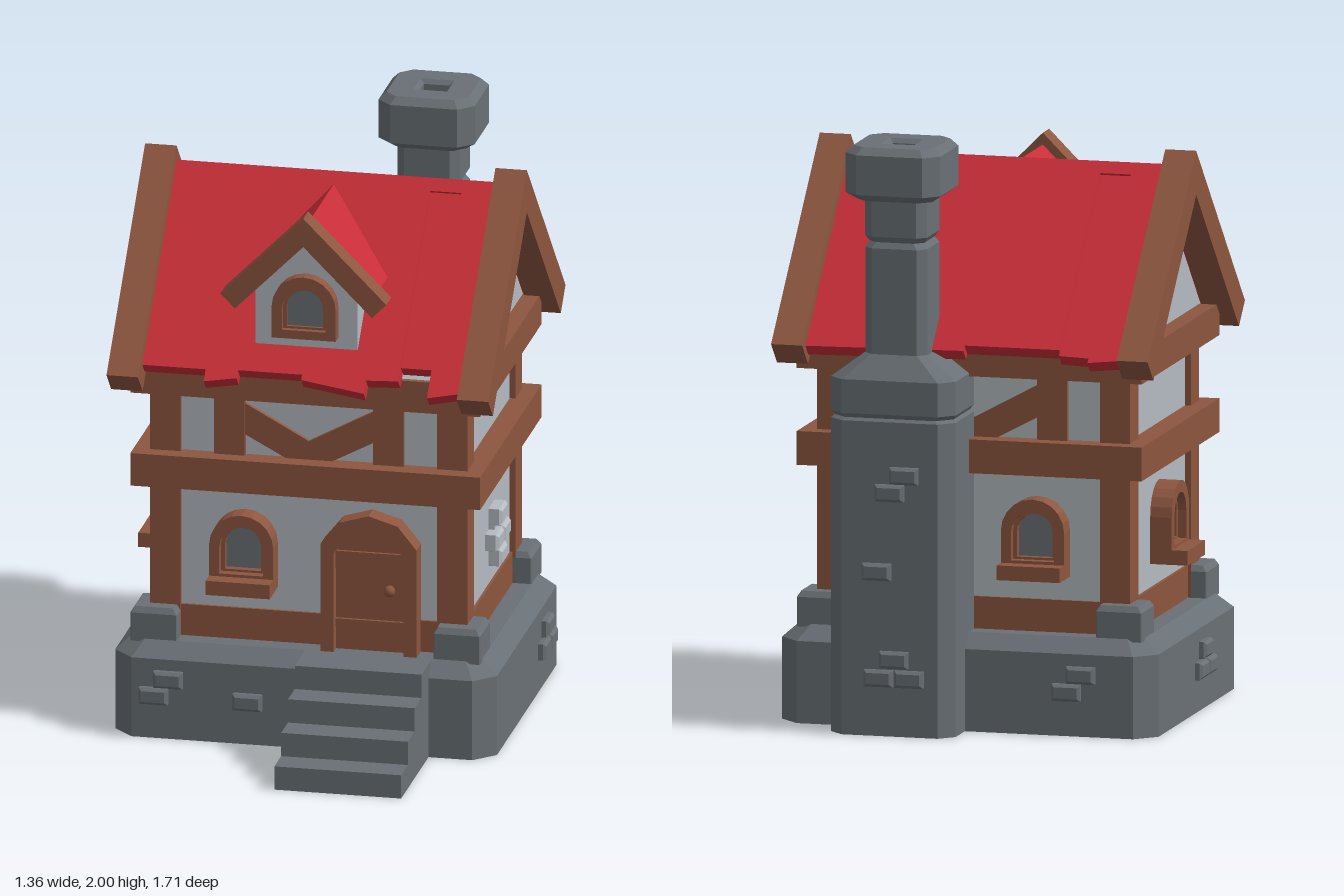
import * as THREE from 'three';

const mat = (name, color) => Object.assign(new THREE.MeshStandardMaterial({ color }), { name });
const stone = mat('stone', 0x697075);
const plaster = mat('plaster', 0xb4bbc1);
const timber = mat('timber', 0x8d563f);
const tile = mat('roofRed', 0xc82e38);
const glass = mat('glass', 0x6b7074);

const BACK_Z = -0.125; // z of the ridge and of the house centre

export function createModel() {
  const root = new THREE.Group();
  root.name = 'cottage';

  const add = (name, geo, m, parent = root, x = 0, y = 0, z = 0) => {
    const mesh = new THREE.Mesh(geo, m);
    mesh.name = name;
    mesh.position.set(x, y, z);
    parent.add(mesh);
    return mesh;
  };
  // box given by its limits
  const block = (name, m, x0, x1, y0, y1, z0, z1, parent = root) =>
    add(name, new THREE.BoxGeometry(x1 - x0, y1 - y0, z1 - z0), m, parent,
      (x0 + x1) / 2, (y0 + y1) / 2, (z0 + z1) / 2);
  const group = (name, x, y, z, ry = 0) => {
    const g = new THREE.Group();
    g.name = name;
    g.position.set(x, y, z);
    g.rotation.y = ry;
    root.add(g);
    return g;
  };
  const poly = pts => new THREE.Shape(pts.map(p => new THREE.Vector2(p[0], p[1])));
  const extrude = (shape, depth, z0 = 0) =>
    new THREE.ExtrudeGeometry(shape, { depth, bevelEnabled: false, curveSegments: 5 }).translate(0, 0, z0);

  // stacked chamfered rectangles: [y, halfX, halfZ, chamfer]
  const loft = sections => {
    const rings = sections.map(([y, a, b, c]) => [
      [a, b - c], [a - c, b], [c - a, b], [-a, b - c],
      [-a, c - b], [c - a, -b], [a - c, -b], [a, c - b],
    ].map(([x, w]) => [x, y, -w]));
    const pos = [];
    const tri = (a, b, c) => pos.push(...a, ...b, ...c);
    for (let s = 0; s < rings.length - 1; s++) {
      for (let i = 0; i < 8; i++) {
        const j = (i + 1) % 8, lo = rings[s], hi = rings[s + 1];
        tri(lo[i], lo[j], hi[j]);
        tri(lo[i], hi[j], hi[i]);
      }
    }
    const first = rings[0], last = rings[rings.length - 1];
    for (let i = 1; i < 7; i++) {
      tri(last[0], last[i], last[i + 1]);
      tri(first[0], first[i + 1], first[i]);
    }
    const geo = new THREE.BufferGeometry();
    geo.setAttribute('position', new THREE.Float32BufferAttribute(pos, 3));
    geo.computeVertexNormals();
    return geo;
  };

  // foundation and steps
  add('foundation', loft([[0, 0.655, 0.545, 0.07], [0.28, 0.655, 0.545, 0.07], [0.33, 0.6, 0.49, 0.05]]),
    stone, root, 0, 0, BACK_Z);
  for (let i = 0; i < 4; i++) {
    block('step', stone, 0, 0.435, 0, 0.0825 * (i + 1), 0.3, 0.855 - 0.108 * i);
  }

  // walls, beams and corner posts
  block('walls', plaster, -0.525, 0.525, 0.33, 1.25, -0.54, 0.29);
  block('sillBeam', timber, -0.535, 0.535, 0.33, 0.44, -0.55, 0.3);
  block('middleBeam', timber, -0.6, 0.6, 0.87, 0.985, -0.615, 0.365);
  block('topBeam', timber, -0.6, 0.6, 1.2, 1.31, -0.615, 0.365);
  for (const sx of [-1, 1]) {
    for (const sz of [-1, 1]) {
      add('cornerPost', new THREE.BoxGeometry(0.105, 0.87, 0.105), timber, root,
        sx * 0.4925, 0.765, BACK_Z + sz * 0.3825);
      add('cornerStone', loft([[0.32, 0.08, 0.08, 0.004], [0.42, 0.08, 0.08, 0.004], [0.44, 0.068, 0.068, 0.004]]),
        stone, root, sx * 0.52, 0, BACK_Z + sz * 0.41);
    }
  }

  // upper framing on the front and the back
  for (const ry of [0, Math.PI]) {
    const g = group('upperFraming', 0, 0, BACK_Z, ry);
    for (const sx of [-1, 1]) {
      add('stud', new THREE.BoxGeometry(0.105, 0.24, 0.06), timber, g, sx * 0.2725, 1.09, 0.405);
    }
    add('brace', extrude(poly([[-0.22, 1.17], [-0.22, 1.06], [-0.08, 0.985], [0.08, 0.985],
      [0.22, 1.06], [0.22, 1.17], [0, 1.05]]), 0.04, 0.39), timber, g);
  }

  // gable prism and barge boards
  const gable = extrude(poly([[-0.47, 1.31], [0.47, 1.31], [0, 1.78]]), 1.08, -0.54).rotateY(Math.PI / 2);
  add('gable', gable, plaster, root, 0, 0, BACK_Z);
  const chevron = (h, v, depth) => extrude(poly([[0, 0], [-h, -h], [-h + v / 2, -h - v / 2],
    [0, -v], [h - v / 2, -h - v / 2], [h, -h]]), depth, -depth / 2);
  for (const sx of [-1, 1]) {
    add('bargeBoard', chevron(0.615, 0.15, 0.108).rotateY(Math.PI / 2), timber, root, sx * 0.601, 1.915, BACK_Z);
  }

  // roof strips: [x0, x1, length at x0, length at x1, sink]
  const frontStrips = [[-0.55, -0.33, 0.77, 0.77, 0], [-0.33, -0.22, 0.815, 0.795, 0],
    [-0.22, 0, 0.765, 0.765, 0], [0, 0.22, 0.785, 0.82, 0], [0.22, 0.33, 0.77, 0.765, 0],
    [0.33, 0.437, 0.71, 0.71, 0.01], [0.437, 0.55, 0.82, 0.795, 0]];
  const backStrips = [[-0.55, 0, 0.81, 0.8, 0], [0, 0.33, 0.778, 0.778, 0],
    [0.33, 0.437, 0.795, 0.8, 0.01], [0.437, 0.55, 0.825, 0.81, 0]];
  [[frontStrips, 0], [backStrips, Math.PI]].forEach(([strips, ry]) => {
    const g = group('roofSide', 0, 1.865, BACK_Z, ry);
    for (const [x0, x1, l0, l1, sink] of strips) {
      const geo = extrude(poly([[x0, -l0], [x1, -l1], [x1, 0], [x0, 0]]), 0.05, -0.05 - sink);
      add('roofStrip', geo.rotateX(-Math.PI / 4), tile, g);
    }
  });

  // dormer
  add('dormerWall', extrude(poly([[-0.175, 1.4], [0.175, 1.4], [0.175, 1.59], [0, 1.765], [-0.175, 1.59]]),
    0.345), plaster);
  add('dormerRoof', chevron(0.235, 0.07, 0.41), tile, root, 0, 1.83, 0.115);
  add('dormerBargeBoard', chevron(0.285, 0.1, 0.08), timber, root, 0, 1.87, 0.355);

  // arched windows; local origin at the bottom of the frame on the wall face
  const arch = (Type, w, y0, spring) => {
    const s = new Type();
    s.moveTo(-w, y0);
    s.lineTo(w, y0);
    s.lineTo(w, spring);
    s.absarc(0, spring, w, 0, Math.PI, false);
    s.lineTo(-w, y0);
    return s;
  };
  const archWindow = (x, y, z, ry, depth, sill, h) => {
    const g = group('window', x, y, z, ry);
    const frame = arch(THREE.Shape, 0.11, 0, h - 0.11);
    frame.holes.push(arch(THREE.Path, 0.075, 0.03, h - 0.115));
    add('windowFrame', extrude(frame, depth), timber, g);
    const inner = arch(THREE.Shape, 0.077, 0.028, h - 0.115);
    inner.holes.push(arch(THREE.Path, 0.062, 0.038, h - 0.115));
    add('innerFrame', extrude(inner, depth * 0.6), timber, g);
    add('windowPane', extrude(arch(THREE.Shape, 0.07, 0.03, h - 0.115), 0.008, 0.012), glass, g);
    if (sill) block('windowSill', timber, -0.11, 0.11, -0.03, 0.02, 0, 0.13, g);
  };
  archWindow(-0.22, 0.55, 0.29, 0, 0.075, true, 0.24);
  archWindow(-0.22, 0.55, -0.54, Math.PI, 0.075, true, 0.24);
  archWindow(-0.525, 0.55, BACK_Z, -Math.PI / 2, 0.075, true, 0.24);
  archWindow(0, 1.44, 0.34, 0, 0.05, false, 0.22);

  // door
  const door = group('door', 0.217, 0.33, 0.29);
  const frame = poly([[-0.165, 0], [-0.12, 0], [-0.12, 0.35], [-0.07, 0.415], [0, 0.44], [0.07, 0.415],
    [0.12, 0.35], [0.12, 0], [0.165, 0], [0.165, 0.38], [0.1, 0.46], [0, 0.49], [-0.1, 0.46], [-0.165, 0.38]]);
  add('doorFrame', extrude(frame, 0.075), timber, door);
  add('doorPanel', extrude(poly([[-0.12, 0], [0.12, 0], [0.12, 0.35], [0.07, 0.415], [0, 0.44],
    [-0.07, 0.415], [-0.12, 0.35]]), 0.035), timber, door);
  block('doorBar', timber, -0.12, 0.12, 0.08, 0.11, 0, 0.046, door);
  block('doorBar', timber, -0.12, 0.12, 0.29, 0.35, 0, 0.046, door);
  add('doorKnob', new THREE.SphereGeometry(0.02, 8, 6), timber, door, 0.067, 0.22, 0.05);

  // chimney
  add('chimneyBase', loft([[0, 0.217, 0.165, 0.05], [1.07, 0.217, 0.165, 0.05], [1.08, 0.207, 0.155, 0.05],
    [1.095, 0.217, 0.165, 0.05], [1.21, 0.217, 0.165, 0.05], [1.29, 0.11, 0.108, 0.03]]),
    stone, root, 0.217, 0, -0.67);
  add('chimneyShaft', loft([[1.28, 0.108, 0.106, 0.03], [1.65, 0.108, 0.106, 0.03], [1.67, 0.095, 0.095, 0.03],
    [1.69, 0.108, 0.108, 0.03], [1.83, 0.108, 0.108, 0.03]]), stone, root, 0.217, 0, -0.672);
  add('chimneyCap', loft([[1.815, 0.13, 0.13, 0.04], [1.84, 0.165, 0.163, 0.05], [1.975, 0.165, 0.163, 0.05],
    [2, 0.14, 0.14, 0.04], [2, 0.058, 0.058, 0.001], [1.985, 0.045, 0.045, 0.001], [1.9, 0.045, 0.045, 0.001]]),
    stone, root, 0.217, 0, -0.675);

  // raised bricks, given as [u, v] offsets on a wall
  const brickGeo = loft([[-0.02, 0.05, 0.029, 0.001], [0.016, 0.05, 0.029, 0.001],
    [0.026, 0.04, 0.019, 0.001]]).rotateX(Math.PI / 2);
  const bricks = (m, x, y, z, ry, list) => {
    const g = group('bricks', x, y, z, ry);
    for (const [u, v] of list) add('brick', brickGeo, m, g, u, v, 0);
  };
  const one = [[0, 0]];
  const two = [[0.025, 0.03], [-0.025, -0.03]];
  const three = [[0, 0.032], [-0.053, -0.032], [0.053, -0.032]];
  const four = [[0, 0.075], [-0.052, 0], [0.052, 0], [0, -0.07]];
  const q = Math.PI / 2;
  bricks(stone, -0.482, 0.182, 0.42, 0, two);
  bricks(stone, -0.185, 0.152, 0.42, 0, one);
  bricks(stone, 0.655, 0.175, -0.408, q, three);
  bricks(stone, -0.655, 0.175, -0.04, -q, three);
  bricks(stone, -0.38, 0.18, -0.67, Math.PI, two);
  bricks(stone, 0.2, 0.23, -0.832, Math.PI, three);
  bricks(stone, 0.26, 0.56, -0.832, Math.PI, one);
  bricks(stone, 0.19, 0.86, -0.832, Math.PI, two);
  bricks(plaster, 0.545, 0.603, -0.167, q, four);
  block('brickBacking', plaster, 0.52, 0.545, 0.53, 0.68, -0.21, -0.12);
  bricks(plaster, -0.54, 1.5, BACK_Z - 0.01, -q, four);

  return root;
}
